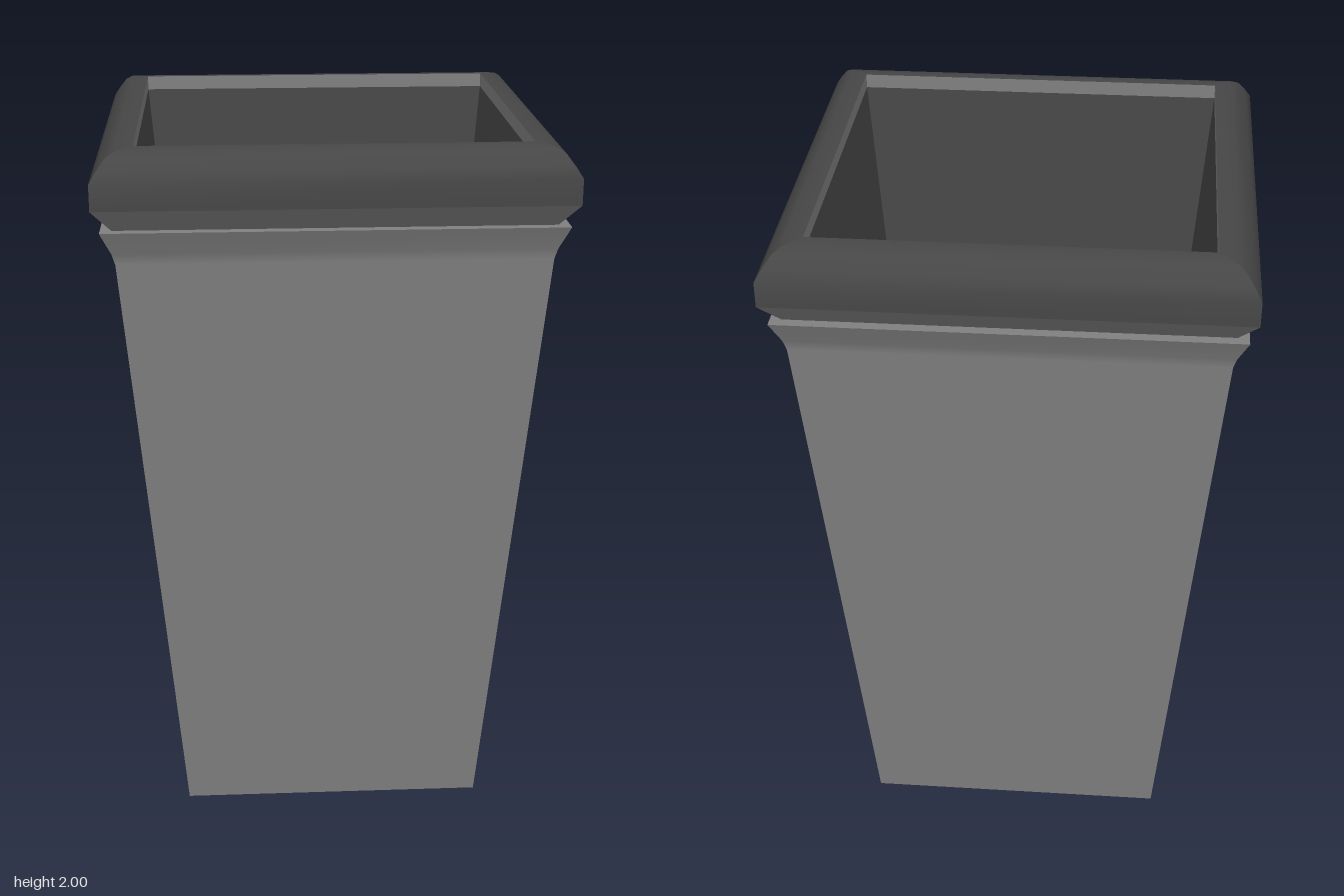
import * as THREE from 'three';
import { mergeGeometries } from 'three/addons/utils/BufferGeometryUtils.js';

// Sweeps a [halfWidth, y] profile around a square: smooth along the profile, sharp at the corners.
// Profiles running upward face outward, profiles running downward face inward.
function squareSweep(profile) {
  const sides = [];
  for (let s = 0; s < 4; s++) {
    const positions = [];
    const index = [];
    profile.forEach(([w, y], i) => {
      positions.push(-w, y, w, w, y, w);
      if (i > 0) {
        const a = 2 * (i - 1);
        index.push(a, a + 1, a + 3, a, a + 3, a + 2);
      }
    });
    const side = new THREE.BufferGeometry();
    side.setAttribute('position', new THREE.Float32BufferAttribute(positions, 3));
    side.setIndex(index);
    side.rotateY(s * Math.PI / 2);
    side.computeVertexNormals();
    sides.push(side);
  }
  return mergeGeometries(sides);
}

export function createModel() {
  const group = new THREE.Group();
  const grey = new THREE.MeshStandardMaterial({ color: 0x808080 });
  grey.name = 'mid grey';
  const dark = new THREE.MeshStandardMaterial({ color: 0x464646 });
  dark.name = 'dark grey';

  const add = (name, geometry, material) => {
    const mesh = new THREE.Mesh(geometry, material);
    mesh.name = name;
    group.add(mesh);
    return mesh;
  };
  const plate = (halfWidth, y, up) =>
    new THREE.PlaneGeometry(2 * halfWidth, 2 * halfWidth)
      .rotateX(up ? -Math.PI / 2 : Math.PI / 2).translate(0, y, 0);

  // Tapered outer body with flared lip
  add('body', squareSweep([[0.43, 0], [0.574, 1.7], [0.582, 1.73], [0.61, 1.793]]), grey);
  add('lipLedge', squareSweep([[0.61, 1.793], [0.58, 1.793]]), grey);
  add('base', plate(0.43, 0, false), grey);

  // Recessed neck under the rim
  add('neck', squareSweep([[0.58, 1.793], [0.63, 1.855]]), grey);

  // Rounded rim
  add('rim', squareSweep([
    [0.63, 1.855], [0.63, 1.925], [0.612, 1.953], [0.59, 1.982], [0.57, 1.994], [0.54, 2], [0.52, 2],
  ]), dark);

  // Inner edge and liner
  add('innerEdge', squareSweep([[0.52, 2], [0.52, 1.96]]), grey);
  add('linerWalls', squareSweep([[0.52, 1.96], [0.357, 0.05]]), dark);
  add('linerFloor', plate(0.357, 0.05, true), dark);

  return group;
}
